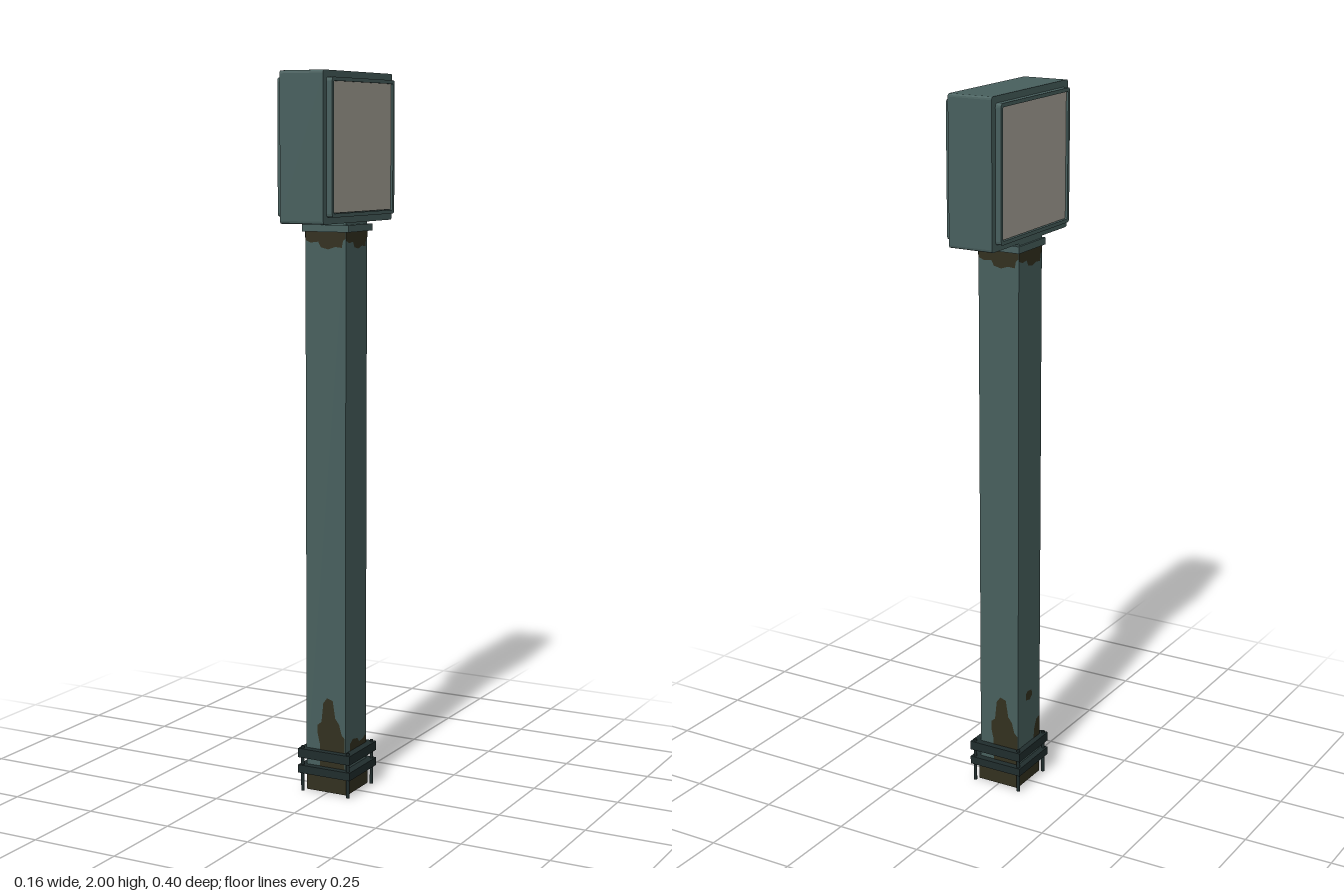
import * as THREE from 'three';

const mat = (name, color) => new THREE.MeshStandardMaterial({ name, color });

export function createModel() {
  const teal = mat('teal paint', 0x48605e);
  const dark = mat('dark iron', 0x202d2d);
  const rust = mat('rust', 0x33301f);
  const panel = mat('pale panel', 0xa9a59a);
  rust.side = THREE.DoubleSide;

  const model = new THREE.Group();
  model.name = 'signPost';

  const add = (name, geometry, material, x = 0, y = 0, z = 0, parent = model) => {
    const mesh = new THREE.Mesh(geometry, material);
    mesh.name = name;
    mesh.position.set(x, y, z);
    parent.add(mesh);
    return mesh;
  };
  // Box given by its bottom and top heights
  const slab = (name, w, d, y0, y1, material, x = 0, z = 0) =>
    add(name, new THREE.BoxGeometry(w, y1 - y0, d), material, x, (y0 + y1) / 2, z);

  // Square outline with slightly rounded corners
  const square = (h, r, Type = THREE.Shape) => {
    const s = new Type();
    s.moveTo(-h + r, -h);
    s.lineTo(h - r, -h);
    s.quadraticCurveTo(h, -h, h, -h + r);
    s.lineTo(h, h - r);
    s.quadraticCurveTo(h, h, h - r, h);
    s.lineTo(-h + r, h);
    s.quadraticCurveTo(-h, h, -h, h - r);
    s.lineTo(-h, -h + r);
    s.quadraticCurveTo(-h, -h, -h + r, -h);
    return s;
  };
  const extrude = (shape, depth) =>
    new THREE.ExtrudeGeometry(shape, { depth, bevelEnabled: false, curveSegments: 3 });

  // Post and the collar under the head
  const px = -0.003, half = 0.062;
  slab('post', half * 2, half * 2, 0.05, 1.6, teal, px);
  slab('collar', 0.142, 0.142, 1.575, 1.594, teal);

  // Rusty foot with two bands and corner bolts
  slab('foot', 0.128, 0.128, 0.003, 0.052, rust);
  slab('lowerBand', 0.164, 0.164, 0.053, 0.076, dark);
  slab('upperBand', 0.164, 0.164, 0.098, 0.124, dark);
  for (const x of [-1, 1]) for (const z of [-1, 1]) {
    add('bolt', new THREE.CylinderGeometry(0.005, 0.005, 0.13, 8), dark, x * 0.072, 0.065, z * 0.072);
  }

  // Head: rounded box with a framed panel on each side
  const head = new THREE.Group();
  head.name = 'head';
  head.position.y = 1.8;
  model.add(head);
  const body = extrude(square(0.2, 0.008), 0.13);
  body.translate(0, 0, -0.065);
  body.rotateY(Math.PI / 2);
  add('headBody', body, teal, 0, 0, 0, head);
  for (const side of [-1, 1]) {
    const face = new THREE.Group();
    face.name = side > 0 ? 'leftFace' : 'rightFace';
    face.rotation.y = side * Math.PI / 2;
    head.add(face);
    const frame = square(0.182, 0.01);
    frame.holes.push(square(0.172, 0.004, THREE.Path));
    add('frame', extrude(frame, 0.018), teal, 0, 0, 0.064, face);
    add('panelSurround', new THREE.BoxGeometry(0.346, 0.346, 0.006), dark, 0, 0, 0.068, face);
    add('panel', new THREE.BoxGeometry(0.339, 0.343, 0.006), panel, 0, 0.001, 0.074, face);
  }

  // Thin rust stains on the post, drawn facing outward on each side
  const stain = (parent, points) => {
    const shape = new THREE.Shape(points.map(([x, y]) => new THREE.Vector2(x, y)));
    add('rustStain', new THREE.ShapeGeometry(shape), rust, 0, 0, half + 0.001, parent);
  };
  const collarStain = [[-0.062, 1.575], [-0.062, 1.552], [-0.045, 1.545], [-0.022, 1.548], [-0.014, 1.533],
    [0.008, 1.528], [0.03, 1.535], [0.05, 1.533], [0.054, 1.552], [0.062, 1.558], [0.062, 1.575]];
  const climbingStain = [[-0.018, 0.076], [-0.019, 0.14], [-0.026, 0.17], [-0.026, 0.195], [-0.014, 0.205],
    [-0.008, 0.26], [0.004, 0.276], [0.022, 0.27], [0.03, 0.22], [0.042, 0.205], [0.05, 0.175],
    [0.06, 0.165], [0.06, 0.076]];
  const lowStain = [[-0.036, 0.12], [-0.036, 0.145], [-0.02, 0.155], [0.008, 0.15], [0.018, 0.138],
    [0.04, 0.14], [0.055, 0.148], [0.06, 0.135], [0.06, 0.12]];
  const edgeStain = [[0.025, 0.12], [0.03, 0.155], [0.042, 0.18], [0.061, 0.185], [0.061, 0.12]];
  const spot = [[-0.018, 0.262], [-0.02, 0.28], [-0.008, 0.288], [0.014, 0.285], [0.016, 0.268], [0.004, 0.257]];
  const stains = [[climbingStain], [lowStain], [climbingStain], [edgeStain, spot]];
  stains.forEach((list, i) => {
    const side = new THREE.Group();
    side.name = ['front', 'left', 'back', 'right'][i] + 'Stains';
    side.position.x = px;
    side.rotation.y = i * Math.PI / 2;
    model.add(side);
    [collarStain, ...list].forEach((points) => stain(side, points));
  });

  return model;
}
